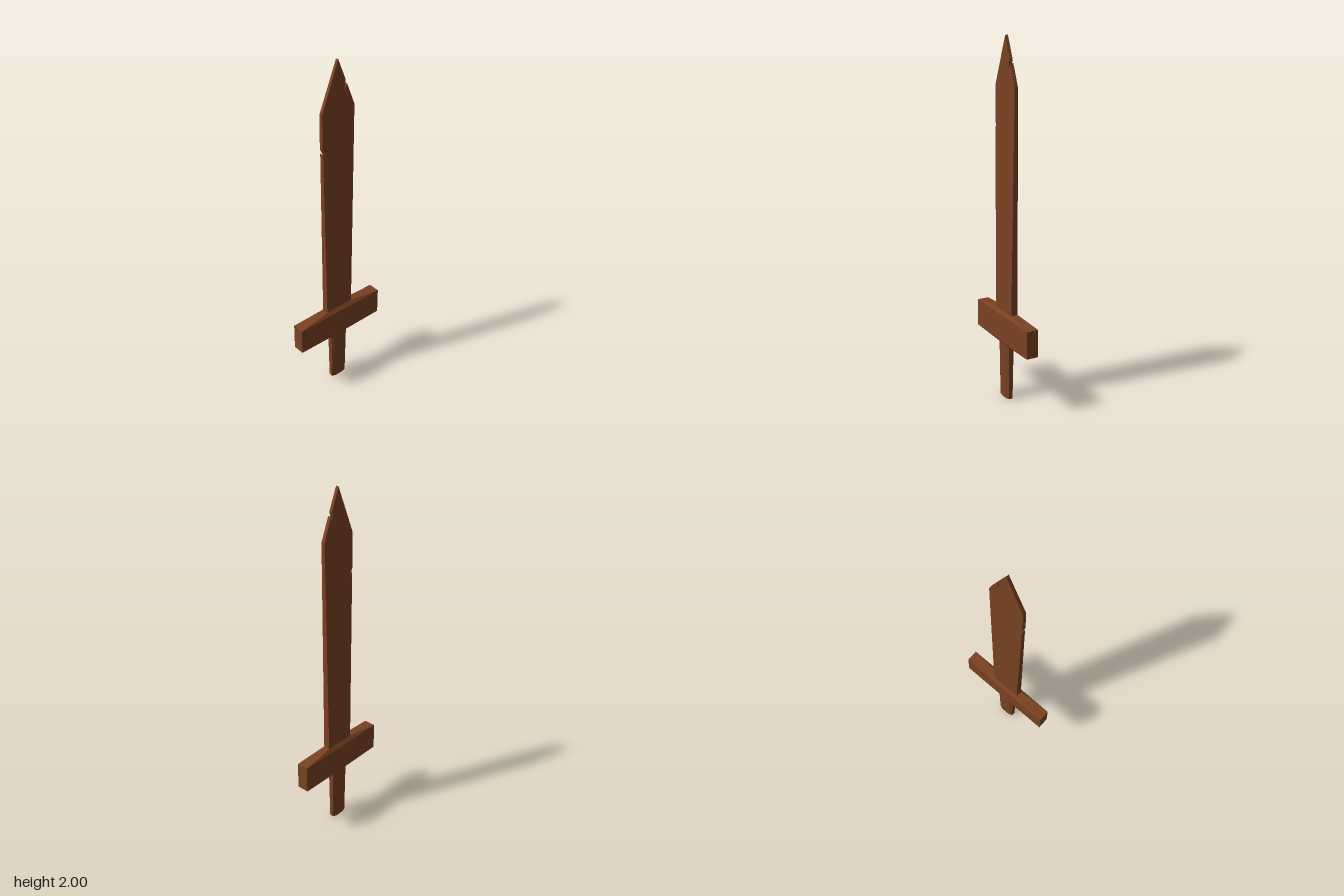
import * as THREE from 'three';
import { ConvexGeometry } from 'three/addons/geometries/ConvexGeometry.js';

// Corners of a rectangle lying level at height y, with half sizes hx and hz
function rectAt(y, hx, hz) {
  return [[-hx, -hz], [hx, -hz], [hx, hz], [-hx, hz]].map(([x, z]) => new THREE.Vector3(x, y, z));
}

// Corners of a level rectangle with cut corners: flats reach fx on the faces and fz on the sides
function octagonAt(y, hx, hz, fx, fz) {
  return [...rectAt(y, hx, fz), ...rectAt(y, fx, hz)];
}

function bladeGeometry() {
  // Outline with one chip near the point and one on the opposite edge
  const outline = [
    [-0.088, 0.5], [0.088, 0.5], [0.104, 1.74],
    [0.056, 1.862], [0.038, 1.83], [0.047, 1.885],
    [0, 2], [-0.104, 1.74],
    [-0.103, 1.55], [-0.081, 1.505], [-0.101, 1.525],
  ].map(([x, y]) => new THREE.Vector2(x, y));
  const geometry = new THREE.ExtrudeGeometry(new THREE.Shape(outline), { depth: 2, bevelEnabled: false });
  geometry.translate(0, 0, -1);

  // Thin the blade steadily from guard to point
  const p = geometry.attributes.position;
  for (let i = 0; i < p.count; i++) {
    const half = THREE.MathUtils.mapLinear(p.getY(i), 0.5, 2, 0.019, 0.008);
    p.setZ(i, p.getZ(i) * half);
  }
  geometry.computeVertexNormals();
  return geometry;
}

export function createModel() {
  const group = new THREE.Group();
  group.name = 'woodenSword';
  const wood = new THREE.MeshStandardMaterial({ color: 0x7a4222 });
  wood.name = 'brownWood';
  wood.flatShading = true;

  const add = (name, geometry) => {
    const mesh = new THREE.Mesh(geometry, wood);
    mesh.name = name;
    group.add(mesh);
  };

  add('blade', bladeGeometry());

  // Crossguard: a bar whose top and bottom rise towards the blade and grip
  add('guard', new ConvexGeometry([
    ...rectAt(0.327, 0.056, 0.026),
    ...rectAt(0.339, 0.285, 0.034),
    ...rectAt(0.494, 0.285, 0.034),
    ...rectAt(0.514, 0.09, 0.02),
  ]));

  // Grip: narrows slightly downwards, with cut corners
  add('grip', new ConvexGeometry([
    ...octagonAt(0, 0.049, 0.02, 0.026, 0.012),
    ...octagonAt(0.335, 0.055, 0.026, 0.03, 0.015),
  ]));

  return group;
}
